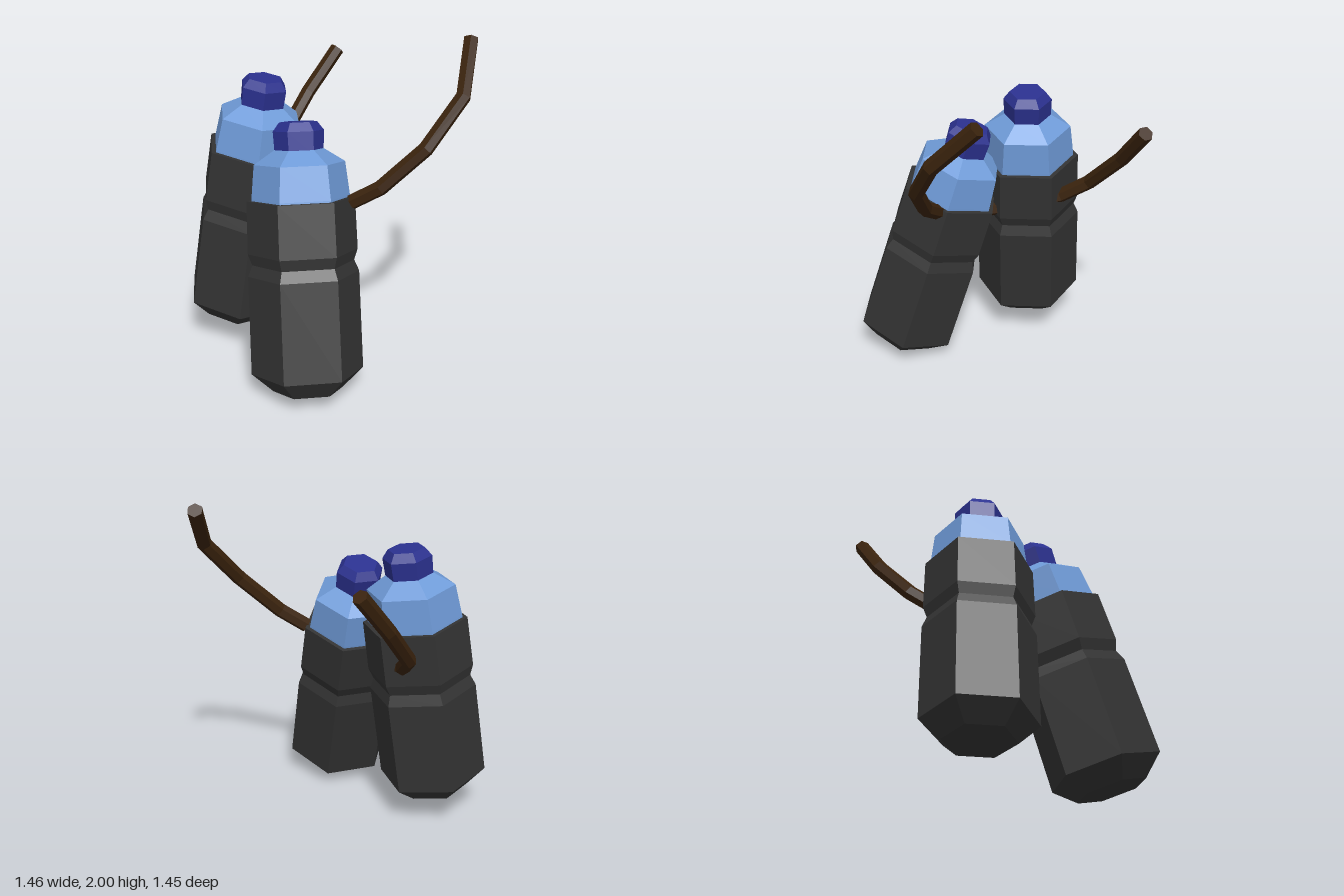
import * as THREE from 'three';

const flat = (name, color) => {
  const m = new THREE.MeshStandardMaterial({ color, flatShading: true });
  m.name = name;
  return m;
};

// Six-sided solid from a [radius, height] profile
function hexLathe(name, profile, material) {
  const points = profile.map(([r, h]) => new THREE.Vector2(r, h));
  const mesh = new THREE.Mesh(new THREE.LatheGeometry(points, 6), material);
  mesh.name = name;
  return mesh;
}

// Bottle standing at base, leaning along axis; turn spins it about its own axis
function bottle(name, base, axis, turn, mats) {
  const spin = new THREE.Group();
  spin.rotation.y = turn;
  spin.add(
    hexLathe('bottleBody', [
      [0, 0], [0.205, 0], [0.327, 0.11], [0.322, 0.685], [0.295, 0.75],
      [0.318, 0.815], [0.312, 1.12], [0, 1.12],
    ], mats.body),
    hexLathe('bottleShoulder', [[0.285, 1.08], [0.283, 1.13], [0.262, 1.325], [0.14, 1.405], [0, 1.405]], mats.shoulder),
    hexLathe('bottleCap', [[0.14, 1.38], [0.146, 1.51], [0.108, 1.56], [0, 1.56]], mats.cap),
  );

  const y = new THREE.Vector3(...axis).normalize();
  const z = new THREE.Vector3(0, 0, 1).addScaledVector(y, -y.z).normalize();
  const x = new THREE.Vector3().crossVectors(y, z);
  const group = new THREE.Group();
  group.name = name;
  group.quaternion.setFromRotationMatrix(new THREE.Matrix4().makeBasis(x, y, z));
  group.position.set(...base);
  group.add(spin);
  return group;
}

// Capped six-sided strap bent through a few points
function strap(name, coords, radius, material) {
  const pts = coords.map((c) => new THREE.Vector3(...c));
  const n = pts.length - 1;
  const frames = pts.map((p, i) => {
    const t = new THREE.Vector3();
    if (i > 0) t.add(p.clone().sub(pts[i - 1]).normalize());
    if (i < n) t.add(pts[i + 1].clone().sub(p).normalize());
    t.normalize();
    const side = new THREE.Vector3(-1, 1, 0).cross(t).cross(t).normalize();
    return { p, side, other: new THREE.Vector3().crossVectors(side, t) };
  });
  const geo = new THREE.CylinderGeometry(radius, radius, 1, 6, n);
  const pos = geo.attributes.position;
  const v = new THREE.Vector3();
  for (let i = 0; i < pos.count; i++) {
    v.fromBufferAttribute(pos, i);
    const f = frames[Math.round((v.y + 0.5) * n)];
    const q = f.p.clone().addScaledVector(f.side, v.x).addScaledVector(f.other, v.z);
    pos.setXYZ(i, q.x, q.y, q.z);
  }
  geo.computeVertexNormals();
  const mesh = new THREE.Mesh(geo, material);
  mesh.name = name;
  return mesh;
}

export function createModel() {
  const mats = {
    body: flat('charcoal', 0x333333),
    shoulder: flat('lightBlue', 0x6f9bd8),
    cap: flat('navyBlue', 0x2b318f),
  };
  const brown = flat('brownStrap', 0x3a230d);

  const model = new THREE.Group();
  model.name = 'strappedBottles';
  model.add(
    bottle('frontBottle', [-0.461, 0.06, 0.429], [0.153, 1, -0.272], 0, mats),
    bottle('rearBottle', [-0.398, 0.168, -0.459], [0.118, 1, 0.08], Math.PI / 6, mats),
    strap('frontStrap', [
      [-0.08, 1.12, 0.33], [0.03, 1.22, 0.45], [0.24, 1.45, 0.585], [0.49, 1.71, 0.6], [0.69, 1.97, 0.43],
    ], 0.045, brown),
    // The rear strap passes through its bottle and shows between the two
    strap('rearStrap', [
      [-0.25, 0.96, -0.08], [-0.03, 1.07, -0.48], [0.08, 1.18, -0.61], [0.33, 1.43, -0.67], [0.56, 1.68, -0.665],
    ], 0.045, brown),
  );
  return model;
}
